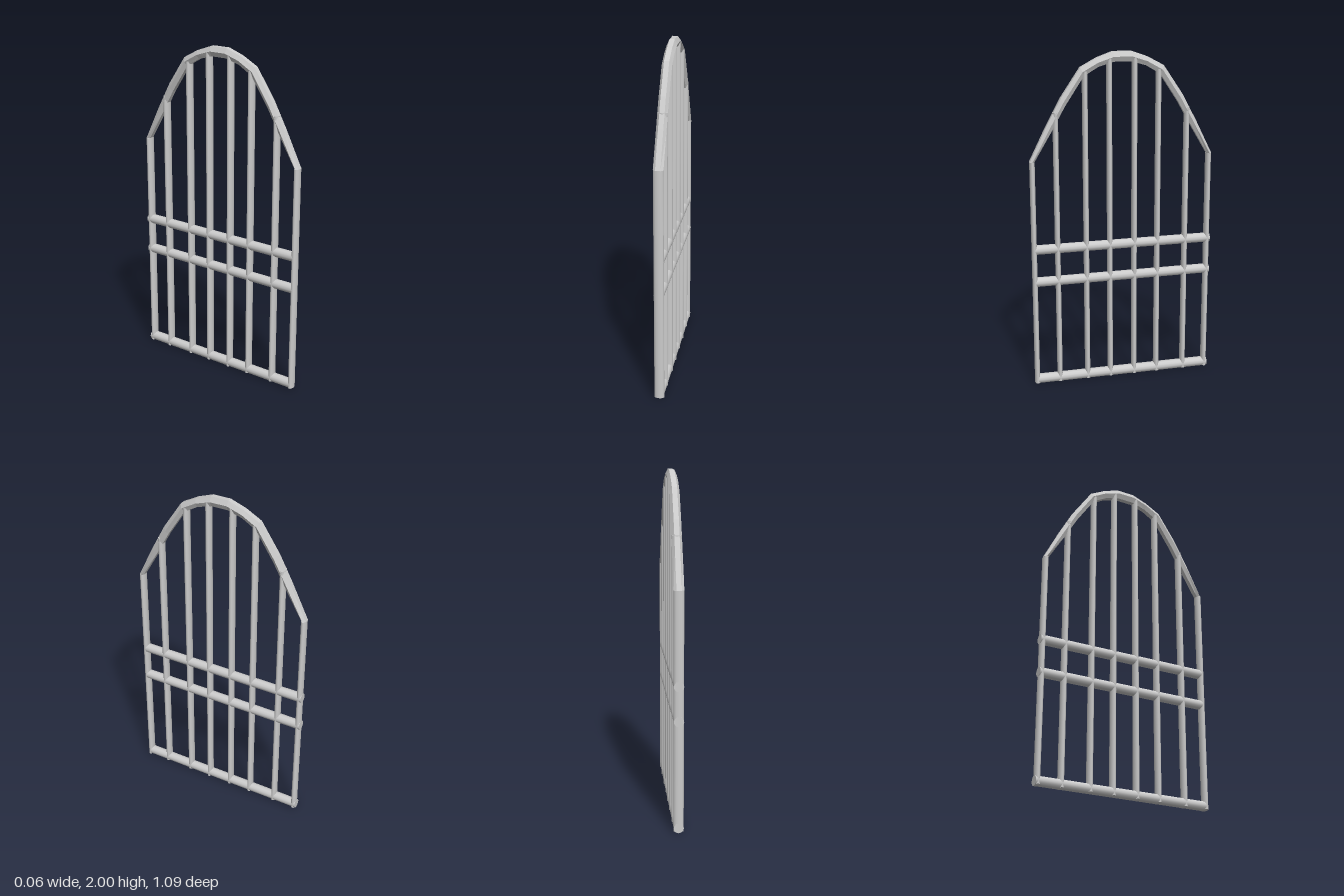
import * as THREE from 'three';

const material = new THREE.MeshStandardMaterial({ color: 0xcccccc });
const archMaterial = new THREE.MeshStandardMaterial({ color: 0xcccccc, flatShading: true });

// Upright of oval section, deeper along x than along z
function makeBar(name, z, top) {
  const bottom = 0.01;
  const geometry = new THREE.CylinderGeometry(1, 1, top - bottom, 12);
  geometry.scale(0.029, 1, 0.016);
  const bar = new THREE.Mesh(geometry, material);
  bar.name = name;
  bar.position.set(0, (top + bottom) / 2, z);
  return bar;
}

// Round horizontal rail running along z
function makeRail(name, y) {
  const from = -0.547, to = 0.532;
  const geometry = new THREE.CylinderGeometry(0.029, 0.029, to - from, 12);
  geometry.rotateX(Math.PI / 2);
  const rail = new THREE.Mesh(geometry, material);
  rail.name = name;
  rail.position.set(0, y, (from + to) / 2);
  return rail;
}

// Six-sided arch lofted between an outer and an inner outline
function makeArch() {
  // [outer z, outer y, inner z, inner y] from the crown down to the foot
  const half = [
    [0.055, 2.0, 0.05, 1.942],
    [0.15, 1.966, 0.14, 1.916],
    [0.245, 1.915, 0.225, 1.866],
    [0.36, 1.745, 0.335, 1.7],
    [0.445, 1.588, 0.42, 1.55],
    [0.546, 1.385, 0.518, 1.385],
  ];
  const mirrored = half.map(([a, b, c, d]) => [-a, b, -c, d]);
  const sections = [...mirrored.reverse(), ...half];
  const positions = [];
  const index = [];
  const flat = 0.0145, wide = 0.029;
  for (const [oz, oy, iz, iy] of sections) {
    const mz = (oz + iz) / 2, my = (oy + iy) / 2;
    positions.push(flat, oy, oz, wide, my, mz, flat, iy, iz);
    positions.push(-flat, iy, iz, -wide, my, mz, -flat, oy, oz);
  }
  for (let s = 0; s < sections.length - 1; s++) {
    for (let k = 0; k < 6; k++) {
      const a = s * 6 + k, b = s * 6 + (k + 1) % 6;
      index.push(a, b, a + 6, b, b + 6, a + 6);
    }
  }
  // End caps
  const last = (sections.length - 1) * 6;
  for (let k = 1; k < 5; k++) {
    index.push(0, k + 1, k, last, last + k, last + k + 1);
  }
  const geometry = new THREE.BufferGeometry();
  geometry.setAttribute('position', new THREE.Float32BufferAttribute(positions, 3));
  geometry.setIndex(index);
  geometry.computeVertexNormals();
  archMaterial.side = THREE.DoubleSide;
  const arch = new THREE.Mesh(geometry, archMaterial);
  arch.name = 'arch';
  return arch;
}

export function createModel() {
  const gate = new THREE.Group();
  gate.name = 'archedGate';

  // Uprights in mirrored pairs: [z, top height]
  const uprights = [[0.075, 1.965], [0.218, 1.895], [0.391, 1.665], [0.531, 1.385]];
  uprights.forEach(([z, top], i) => {
    const name = i === 3 ? 'endPost' : 'bar' + (i + 1);
    gate.add(makeBar(name + 'Front', z, top), makeBar(name + 'Back', -z, top));
  });

  // Rails
  gate.add(makeRail('bottomRail', 0.032), makeRail('lowerMiddleRail', 0.655), makeRail('upperMiddleRail', 0.855));

  gate.add(makeArch());
  return gate;
}
